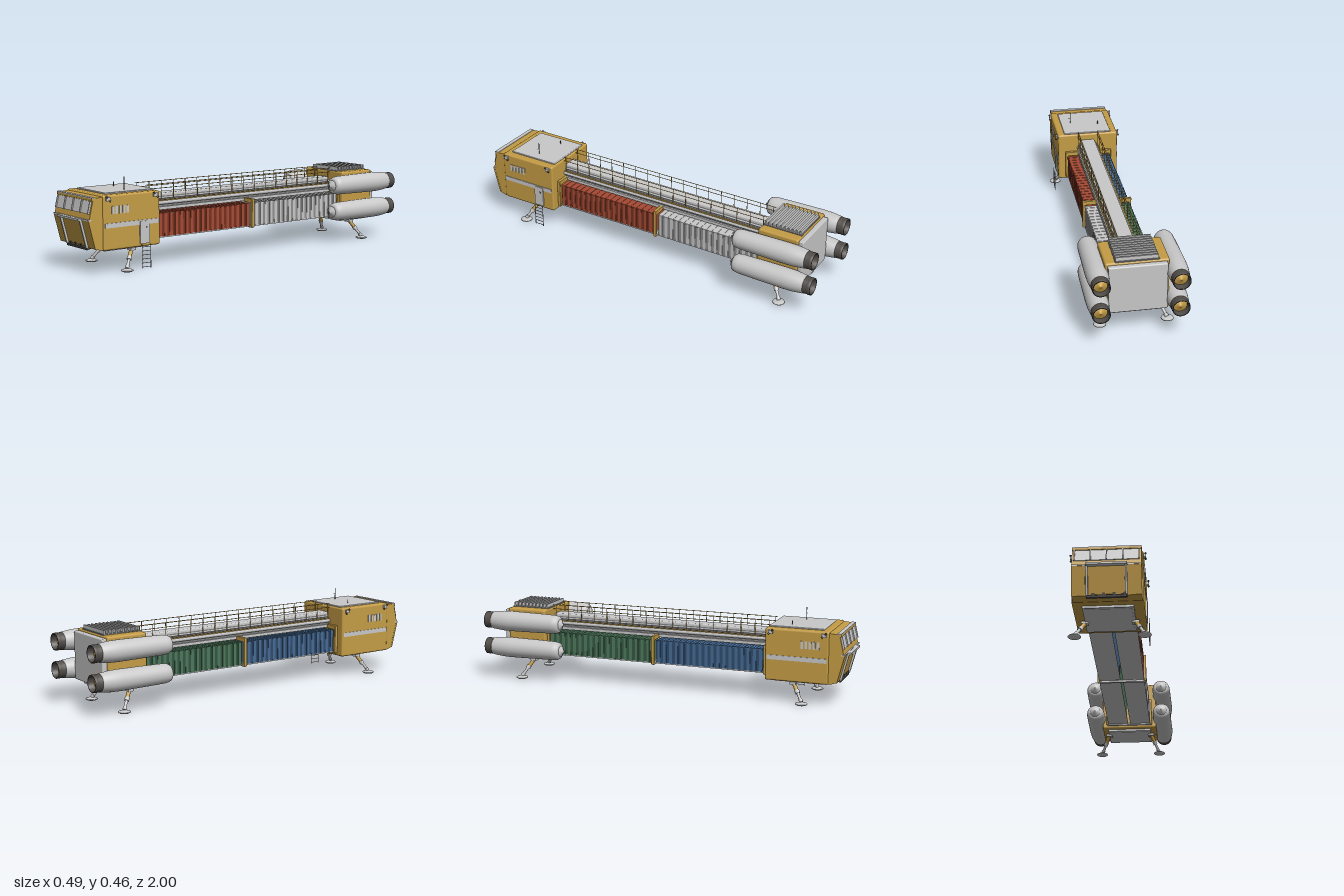
import * as THREE from 'three';
import { RoundedBoxGeometry } from 'three/addons/geometries/RoundedBoxGeometry.js';

const mat = (name, color, side = THREE.FrontSide) => {
  const m = new THREE.MeshStandardMaterial({ color, side });
  m.name = name;
  return m;
};

export function createModel() {
  const root = new THREE.Group();
  root.name = 'cargoShip';
  const gold = mat('gold hull', 0xc49c45), grey = mat('light grey', 0xc8c8c8);
  const mid = mat('mid grey', 0x8c8c8c);
  const dark = mat('dark metal', 0x504c48, THREE.DoubleSide);
  const red = mat('red container', 0xa54a34), redSide = mat('deep red', 0x74301f);
  const blue = mat('blue container', 0x456a94), blueSide = mat('deep blue', 0x2f4a6a);
  const green = mat('green container', 0x4c775b), greenSide = mat('deep green', 0x34543f);

  const group = (name, parent = root) => {
    const g = new THREE.Group();
    g.name = name;
    parent.add(g);
    return g;
  };
  const add = (p, name, geo, m) => {
    const mesh = new THREE.Mesh(geo, m);
    mesh.name = name;
    p.add(mesh);
    return mesh;
  };
  // Box from its limits, optionally with rounded edges
  const box = (p, name, m, x0, x1, y0, y1, z0, z1, r = 0) => {
    const s = [x1 - x0, y1 - y0, z1 - z0];
    const geo = r ? new RoundedBoxGeometry(...s, 2, r) : new THREE.BoxGeometry(...s);
    const b = add(p, name, geo, m);
    b.position.set((x0 + x1) / 2, (y0 + y1) / 2, (z0 + z1) / 2);
    return b;
  };
  // Cylinder between two points
  const rod = (p, name, m, a, b, r, r2 = r, n = 8) => {
    const A = new THREE.Vector3(...a), B = new THREE.Vector3(...b), d = B.clone().sub(A);
    const c = add(p, name, new THREE.CylinderGeometry(r2, r, d.length(), n), m);
    c.position.copy(A).add(B).multiplyScalar(0.5);
    c.quaternion.setFromUnitVectors(new THREE.Vector3(0, 1, 0), d.normalize());
    return c;
  };
  const lathe = (p, name, m, pts, n = 32) =>
    add(p, name, new THREE.LatheGeometry(pts.map(q => new THREE.Vector2(...q)), n), m);

  // Cabin body and wedge nose
  const cabin = group('cabin');
  box(cabin, 'cabinBody', gold, -0.17, 0.17, 0.115, 0.385, 0.57, 0.9, 0.01);
  const prof = [[0.88, 0.118], [0.91, 0.118], [0.938, 0.128], [0.975, 0.27], [0.95, 0.375], [0.88, 0.38]];
  const nose = new THREE.ExtrudeGeometry(new THREE.Shape(prof.map(q => new THREE.Vector2(...q))),
    { depth: 0.328, bevelEnabled: false });
  nose.translate(0, 0, -0.164).rotateY(-Math.PI / 2);
  add(cabin, 'nose', nose, gold);
  box(cabin, 'roofPanel', grey, -0.133, 0.133, 0.383, 0.392, 0.58, 0.865, 0.004);
  box(cabin, 'visorLip', gold, -0.164, 0.164, 0.363, 0.374, 0.938, 0.96);
  box(cabin, 'visorCap', grey, -0.164, 0.164, 0.374, 0.379, 0.938, 0.96);
  box(cabin, 'windowSill', grey, -0.165, 0.165, 0.267, 0.274, 0.962, 0.981);
  box(cabin, 'rampHeader', grey, -0.097, 0.097, 0.263, 0.273, 0.965, 1);

  // Sloped windscreen
  const screen = group('windscreen', cabin);
  screen.position.set(0, 0.3225, 0.9625);
  screen.rotation.x = Math.atan2(-0.025, 0.105);
  box(screen, 'windowPane', grey, -0.153, 0.153, -0.024, 0.039, -0.002, 0.004);
  for (const x of [-0.152, -0.076, 0, 0.076, 0.152])
    box(screen, 'windowBar', grey, x - 0.003, x + 0.003, -0.024, 0.039, 0, 0.01);

  // Sloped cargo ramp
  const ramp = group('cargoRamp', cabin);
  ramp.position.set(0, 0.199, 0.9565);
  ramp.rotation.x = Math.atan2(0.037, 0.142);
  box(ramp, 'rampPanel', gold, -0.085, 0.085, -0.068, 0.072, -0.004, 0.004);
  box(ramp, 'rampSill', dark, -0.095, 0.095, -0.084, -0.071, -0.012, 0.012);
  for (const s of [-1, 1]) {
    box(ramp, 'rampPillar', grey, s * 0.092 - 0.005, s * 0.092 + 0.005, -0.071, 0.072, 0, 0.014);
    box(ramp, 'cheekPanel', gold, s * 0.133 - 0.032, s * 0.133 + 0.032, -0.073, 0.072, -0.004, 0.005);
  }
  for (let i = 0; i < 4; i++) {
    const x = -0.063 + i * 0.0487;
    box(ramp, 'rampHinge', dark, x - 0.006, x + 0.006, -0.07, -0.06, 0, 0.008);
  }

  // Cabin sides: stripe, slots and corner thrusters
  for (const s of [-1, 1]) {
    const side = (name, m, y0, y1, z0, z1, t = 0.003) =>
      box(cabin, name, m, s * 0.17 - t, s * 0.17 + t, y0, y1, z0, z1);
    side('sideStripe', grey, 0.225, 0.248, 0.58, 0.89);
    for (let i = 0; i < 5; i++)
      side('sideSlot', grey, 0.292, 0.33, 0.755 + i * 0.021, 0.768 + i * 0.021);
    for (const z of [0.6, 0.875]) {
      box(cabin, 'thrusterBlock', grey, s * 0.173 - 0.007, s * 0.173 + 0.007, 0.358, 0.376, z - 0.011, z + 0.011);
      for (const d of [-1, 1])
        rod(cabin, 'thruster', dark, [s * 0.174, 0.367, z], [s * 0.18, 0.367 + d * 0.012, z + d * 0.012], 0.003, 0.005);
    }
  }
  // Door and ladder on the left side
  box(cabin, 'sideDoor', grey, 0.168, 0.176, 0.13, 0.242, 0.636, 0.692);
  box(cabin, 'doorWindow', dark, 0.174, 0.177, 0.207, 0.216, 0.65, 0.658);
  const ladder = group('ladder');
  for (const z of [0.637, 0.688]) rod(ladder, 'ladderRail', mid, [0.184, 0.008, z], [0.184, 0.13, z], 0.0018);
  for (let i = 0; i < 6; i++)
    rod(ladder, 'ladderRung', mid, [0.184, 0.015 + i * 0.02, 0.637], [0.184, 0.015 + i * 0.02, 0.688], 0.0015);
  // Antennas
  rod(cabin, 'antenna', dark, [0.078, 0.385, 0.72], [0.078, 0.456, 0.72], 0.002);
  rod(cabin, 'antennaArm', dark, [0.078, 0.423, 0.72], [0.092, 0.423, 0.72], 0.0015);
  rod(cabin, 'shortAntenna', dark, [-0.075, 0.385, 0.685], [-0.075, 0.412, 0.685], 0.0025);

  // Central spine with pipes
  const spine = group('spine');
  box(spine, 'spineBeam', grey, -0.038, 0.038, 0.262, 0.35, -0.67, 0.575, 0.008);
  box(spine, 'spineBase', mid, -0.05, 0.05, 0.265, 0.318, -0.67, 0.575);
  for (const s of [-1, 1]) {
    box(spine, 'spineLedge', grey, s * 0.047 - 0.013, s * 0.047 + 0.013, 0.267, 0.283, -0.67, 0.575);
    rod(spine, 'sidePipe', grey, [s * 0.053, 0.303, -0.67], [s * 0.053, 0.303, 0.575], 0.01, 0.01, 12);
    rod(spine, 'upperPipe', grey, [s * 0.042, 0.327, -0.67], [s * 0.042, 0.327, 0.575], 0.006);
    // Handrails
    const x = s * 0.055;
    box(spine, 'railFoot', gold, x - 0.003, x + 0.003, 0.312, 0.317, -0.67, 0.575);
    for (const y of [0.378, 0.4]) rod(spine, 'handrail', gold, [x, y, -0.665], [x, y, 0.57], 0.0018, 0.0018, 6);
    for (let i = 0; i < 17; i++)
      rod(spine, 'railPost', gold, [x, 0.315, -0.65 + i * 0.0755], [x, 0.4, -0.65 + i * 0.0755], 0.0018, 0.0018, 6);
  }

  // Containers: deep-coloured side walls between bright ribs
  const container = (name, m, wall, s, z0) => {
    const g = group(name), L = 0.59, n = 18, step = L / n;
    const bx = (nm, mm, a, b, ...r) => box(g, nm, mm, Math.min(s * a, s * b), Math.max(s * a, s * b), ...r);
    bx('containerBody', m, 0.012, 0.116, 0.141, 0.261, z0, z0 + L);
    bx('containerWall', wall, 0.112, 0.118, 0.145, 0.257, z0 + 0.004, z0 + L - 0.004);
    bx('containerFloor', grey, 0.006, 0.121, 0.137, 0.142, z0, z0 + L);
    for (let i = 0; i < n; i++) {
      const z = z0 + i * step + step * 0.25;
      bx('containerRib', m, 0.012, 0.121, 0.142, 0.263, z, z + step * 0.5);
    }
  };
  container('redContainer', red, redSide, 1, -0.04);
  container('greyContainer', grey, mid, 1, -0.66);
  container('blueContainer', blue, blueSide, -1, -0.04);
  container('greenContainer', green, greenSide, -1, -0.66);

  // Clamp frames around the containers
  for (const z of [0.56, -0.055, -0.665]) {
    const f = group('clampFrame');
    for (const s of [-1, 1]) {
      box(f, 'clampPost', gold, s * 0.124 - 0.007, s * 0.124 + 0.007, 0.132, 0.285, z - 0.009, z + 0.009, 0.003);
      box(f, 'clampTop', gold, s * 0.094 - 0.036, s * 0.094 + 0.036, 0.262, 0.285, z - 0.009, z + 0.009, 0.003);
    }
    box(f, 'clampCrossbar', grey, -0.128, 0.128, 0.13, 0.14, z - 0.007, z + 0.007);
  }

  // Engine module with cooling fins
  const rear = group('engineModule');
  box(rear, 'engineBody', gold, -0.155, 0.155, 0.115, 0.385, -0.89, -0.67, 0.01);
  box(rear, 'rearPanel', grey, -0.143, 0.143, 0.128, 0.374, -0.915, -0.88, 0.006);
  box(rear, 'radiatorBase', mid, -0.106, 0.106, 0.383, 0.389, -0.885, -0.675);
  for (let i = 0; i < 10; i++) {
    const z = -0.876 + i * 0.0213;
    box(rear, 'coolingFin', grey, -0.103, 0.103, 0.385, 0.408, z - 0.004, z + 0.004);
  }

  // Four engine pods; profile runs along +z from nozzle to nose
  for (const s of [-1, 1]) for (const y of [0.32, 0.175]) {
    const pod = group('enginePod');
    pod.position.set(s * 0.19, y, -1);
    pod.rotation.x = Math.PI / 2;
    lathe(pod, 'podShell', grey, [[0, 0.038], [0.044, 0.038], [0.047, 0.045], [0.053, 0.1], [0.054, 0.15], [0.052, 0.3],
      [0.05, 0.4], [0.047, 0.422], [0.041, 0.434], [0.03, 0.438], [0, 0.438]]);
    lathe(pod, 'podNose', grey, [[0.031, 0.432], [0.028, 0.443], [0.008, 0.451], [0.006, 0.457], [0, 0.458]], 24);
    lathe(pod, 'nozzle', dark, [[0.034, 0.036], [0.038, 0], [0.044, 0], [0.045, 0.014], [0.043, 0.017], [0.045, 0.04]]);
    lathe(pod, 'nozzleCore', gold, [[0, 0.012], [0.012, 0.024], [0.035, 0.032]], 24);
    for (const z of [-0.74, -0.83])
      rod(root, 'podStrut', mid, [s * 0.14, y, z], [s * 0.16, y, z], 0.02);
  }

  // Belly plates and landing legs
  for (const [z0, z1, zt, zf] of [[0.61, 0.865, 0.71, 0.765], [-0.875, -0.69, -0.755, -0.81]]) {
    box(root, 'bellyPlate', grey, -0.122, 0.122, 0.104, 0.117, z0, z1);
    box(root, 'bellyInset', grey, -0.112, 0.112, 0.102, 0.106, z0 + 0.01, z1 - 0.01);
    for (const s of [-1, 1]) {
      const leg = group('landingLeg');
      const at = t => [s * (0.122 + 0.043 * t), 0.103 - 0.088 * t, zt + (zf - zt) * t];
      box(leg, 'legBracket', grey, s * 0.122 - 0.018, s * 0.122 + 0.018, 0.095, 0.108, zt - 0.015, zt + 0.015);
      rod(leg, 'upperLeg', gold, at(0), at(0.5), 0.01, 0.01, 12);
      rod(leg, 'legCollar', grey, at(0.4), at(0.56), 0.0125, 0.0125, 12);
      rod(leg, 'lowerLeg', grey, at(0.5), at(1), 0.0075, 0.0075, 12);
      rod(leg, 'ankle', grey, at(0.86), at(1), 0.01, 0.01, 12);
      const foot = lathe(leg, 'footPad', grey, [[0, 0], [0.024, 0], [0.032, 0.005], [0.03, 0.009], [0.012, 0.014], [0, 0.014]], 24);
      foot.position.set(s * 0.167, 0, zf);
    }
  }
  return root;
}
